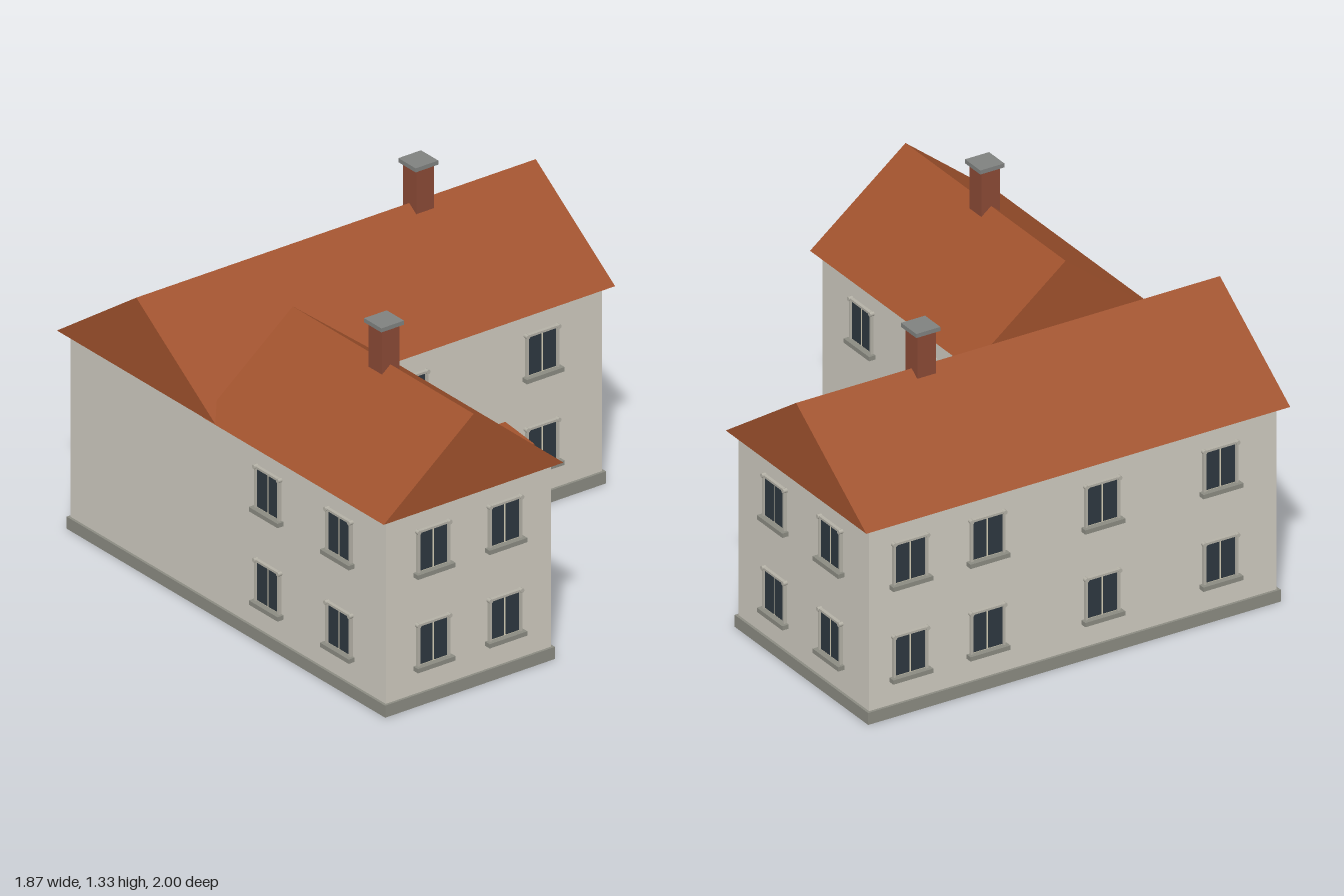
import * as THREE from 'three';

const mat = (name, color) => {
  const m = new THREE.MeshStandardMaterial({ color });
  m.name = name;
  return m;
};

export function createModel() {
  const house = new THREE.Group();
  house.name = 'house';

  const plaster = mat('plaster', 0xcfcbc0);
  const stone = mat('plinth stone', 0x8b8b82);
  const tile = mat('roof tile', 0xa0522d);
  const brick = mat('chimney brick', 0x8b4a36);
  const capGrey = mat('chimney cap', 0x808280);
  const glass = mat('window glass', 0x2e3840);
  const trim = mat('window trim', 0xb4b1a6);
  const timber = mat('post timber', 0x6b4a2a);
  const doorWood = mat('door wood', 0x7a6040);
  const pale = mat('pale frame', 0xd6cfb8);

  const add = (parent, name, geometry, material) => {
    const m = new THREE.Mesh(geometry, material);
    m.name = name;
    parent.add(m);
    return m;
  };
  // Box given by its low and high limits on each axis
  const box = (parent, name, material, x0, x1, y0, y1, z0, z1) => {
    const g = new THREE.BoxGeometry(x1 - x0, y1 - y0, z1 - z0);
    g.translate((x0 + x1) / 2, (y0 + y1) / 2, (z0 + z1) / 2);
    return add(parent, name, g, material);
  };
  const extrude = (points, depth) => new THREE.ExtrudeGeometry(
    new THREE.Shape(points.map(([x, y]) => new THREE.Vector2(x, y))),
    { depth, bevelEnabled: false });

  // L-shaped storey: main block at the back, wing forward at the right
  const lBlock = (name, material, grow, y0, y1) => {
    const a = 0.897 + grow, b = 0.963 + grow, ix = -0.126 + grow, iz = -0.063 + grow;
    const g = extrude([[-a, -b], [ix, -b], [ix, -iz], [a, -iz], [a, b], [-a, b]], y1 - y0);
    g.rotateX(-Math.PI / 2).translate(0, y0, 0);
    add(house, name, g, material);
  };
  lBlock('plinth', stone, 0.011, 0, 0.05);
  lBlock('walls', plaster, 0, 0.05, 0.825);

  // Solid gabled roofs
  const EAVE = 0.822, RIDGE = 1.155;
  const gable = (half, length) => extrude([[-half, EAVE], [half, EAVE], [0, RIDGE]], length);
  add(house, 'mainRoof', gable(0.485, 1.866).rotateY(Math.PI / 2).translate(-0.933, 0, -0.515), tile);
  add(house, 'wingRoof', gable(0.42, 1.105).translate(-0.515, 0, -0.105), tile);

  // Chimneys on both ridges
  for (const [x, z] of [[-0.513, 0.45], [0.383, -0.513]]) {
    const c = new THREE.Group();
    c.name = 'chimney';
    c.position.set(x, 0, z);
    box(c, 'chimneyStack', brick, -0.041, 0.041, 1.12, 1.308, -0.041, 0.041);
    box(c, 'chimneyCap', capGrey, -0.053, 0.053, 1.308, 1.325, -0.053, 0.053);
    house.add(c);
  }

  // Window facing local +z, its base at local y = 0
  const addWindow = (x, y, z, angle) => {
    const w = new THREE.Group();
    w.name = 'window';
    w.position.set(x, y, z);
    w.rotation.y = angle;
    box(w, 'windowFrame', pale, -0.068, 0.068, 0.018, 0.185, -0.004, 0.004);
    box(w, 'windowSill', stone, -0.088, 0.088, 0, 0.018, -0.005, 0.028);
    box(w, 'windowHead', trim, -0.075, 0.075, 0.183, 0.192, -0.005, 0.014);
    for (const s of [-1, 1]) {
      const px = s * 0.0345;
      box(w, 'windowPane', glass, px - 0.03, px + 0.03, 0.022, 0.182, 0, 0.007);
      const jx = s * 0.071;
      box(w, 'windowJamb', trim, jx - 0.005, jx + 0.005, 0.018, 0.186, -0.005, 0.013);
      const knob = new THREE.CylinderGeometry(0.009, 0.009, 0.022, 10);
      knob.rotateX(Math.PI / 2).translate(s * 0.073, 0.187, 0.007);
      add(w, 'windowCornerKnob', knob, trim);
    }
    house.add(w);
  };
  const Q = Math.PI / 2;
  for (const y of [0.148, 0.537]) {
    for (const x of [-0.68, -0.345]) addWindow(x, y, 0.963, 0);
    for (const x of [0, 0.613]) addWindow(x, y, -0.063, 0);
    for (const x of [0.72, 0.38, -0.125, -0.645]) addWindow(x, y, -0.963, Math.PI);
    for (const z of [-0.32, -0.705]) addWindow(0.897, y, z, Q);
    for (const z of [0.685, 0.25]) {
      addWindow(-0.126, y, z, Q);
      addWindow(-0.897, y, z, -Q);
    }
  }

  // Entrance: step, door with pale battens, surround
  const WALL = -0.063, cx = 0.255;
  box(house, 'doorStep', stone, 0.115, 0.397, 0, 0.05, -0.07, 0.065);
  box(house, 'door', doorWood, cx - 0.07, cx + 0.07, 0.05, 0.34, WALL - 0.005, WALL + 0.008);
  for (let i = 0; i < 6; i++) {
    const y = 0.082 + i * 0.044;
    box(house, 'doorBatten', pale, cx - 0.066, cx + 0.066, y, y + 0.006, WALL, WALL + 0.012);
  }
  for (const s of [-1, 1]) {
    const x = cx + s * 0.08;
    box(house, 'doorJamb', trim, x - 0.01, x + 0.01, 0.05, 0.34, WALL - 0.005, WALL + 0.034);
  }
  box(house, 'doorHead', trim, cx - 0.095, cx + 0.095, 0.335, 0.35, WALL - 0.005, WALL + 0.034);

  // Sloping porch canopy on two posts
  const canopy = extrude([[-0.063, 0.372], [0.115, 0.352], [0.115, 0.375], [-0.063, 0.395]], 0.382);
  canopy.rotateY(-Q).translate(0.445, 0, 0);
  add(house, 'porchCanopy', canopy, tile);
  for (const x of [0.09, 0.42]) {
    box(house, 'porchPost', timber, x - 0.007, x + 0.007, 0.042, 0.36, 0.083, 0.097);
  }
  return house;
}
